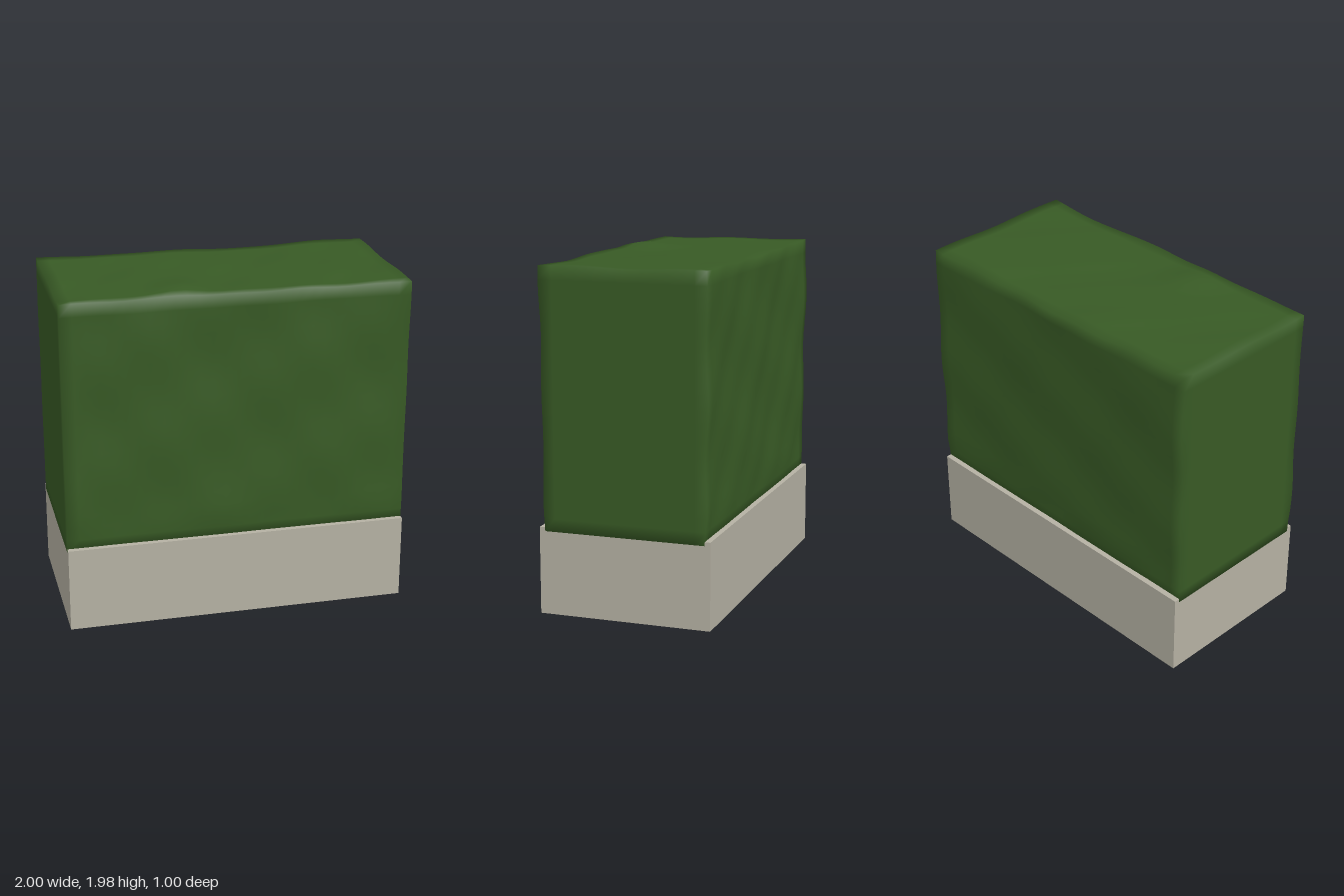
import * as THREE from 'three';
import { mergeVertices } from 'three/addons/utils/BufferGeometryUtils.js';

// Gentle leafy unevenness, roughly -1..1
function bump(u, v, phase) {
  return 0.4 * Math.sin(u * 7.3 + v * 3.1 + phase)
    + 0.35 * Math.sin(v * 9.7 - u * 4.9 + phase * 2.3)
    + 0.25 * Math.sin(u * 15.1 + v * 11.3 + phase * 3.7);
}

// Clipped hedge: flat ends, softly uneven front, back and top, smooth shared edges
function hedgeGeometry() {
  const bottom = 0.478, top = 1.953, halfDepth = 0.476;
  let geo = new THREE.BoxGeometry(2, top - bottom, halfDepth * 2, 28, 20, 14);
  geo.translate(0, (top + bottom) / 2, 0);
  geo.deleteAttribute('normal');
  geo.deleteAttribute('uv');
  geo = mergeVertices(geo, 1e-4);
  const pos = geo.attributes.position;
  for (let i = 0; i < pos.count; i++) {
    const x = pos.getX(i), y = pos.getY(i), z = pos.getZ(i);
    const rise = Math.min(1, (y - bottom) / 0.15);
    // front and back swell a little above the foot
    if (Math.abs(z) > halfDepth - 1e-3) {
      const side = Math.sign(z);
      const swell = -0.01 + rise * (0.01 + 0.013 * bump(x, y, side > 0 ? 0.6 : 2.9));
      pos.setZ(i, z + side * swell);
    }
    // uneven top with one low rise towards the front
    if (y > top - 1e-3) {
      const mound = 0.024 * Math.exp(-((x + 0.3) ** 2 + (z - 0.35) ** 2) / 0.02);
      const ends = 0.009 * Math.max(0, Math.abs(x) - 0.4);
      pos.setY(i, y + 0.008 * bump(x, z, 4.2) + mound + ends);
    }
  }
  geo.computeVertexNormals();
  return geo;
}

export function createModel() {
  const leafGreen = new THREE.MeshStandardMaterial({ color: 0x385a25 });
  leafGreen.name = 'leafGreen';
  const paleStone = new THREE.MeshStandardMaterial({ color: 0xb5b1a3 });
  paleStone.name = 'paleStone';

  const model = new THREE.Group();
  model.name = 'hedgeOnPlinth';

  // Stone plinth
  const plinth = new THREE.Mesh(new THREE.BoxGeometry(1.998, 0.5, 1), paleStone);
  plinth.name = 'plinth';
  plinth.position.y = 0.25;

  const hedge = new THREE.Mesh(hedgeGeometry(), leafGreen);
  hedge.name = 'hedge';

  model.add(plinth, hedge);
  return model;
}
